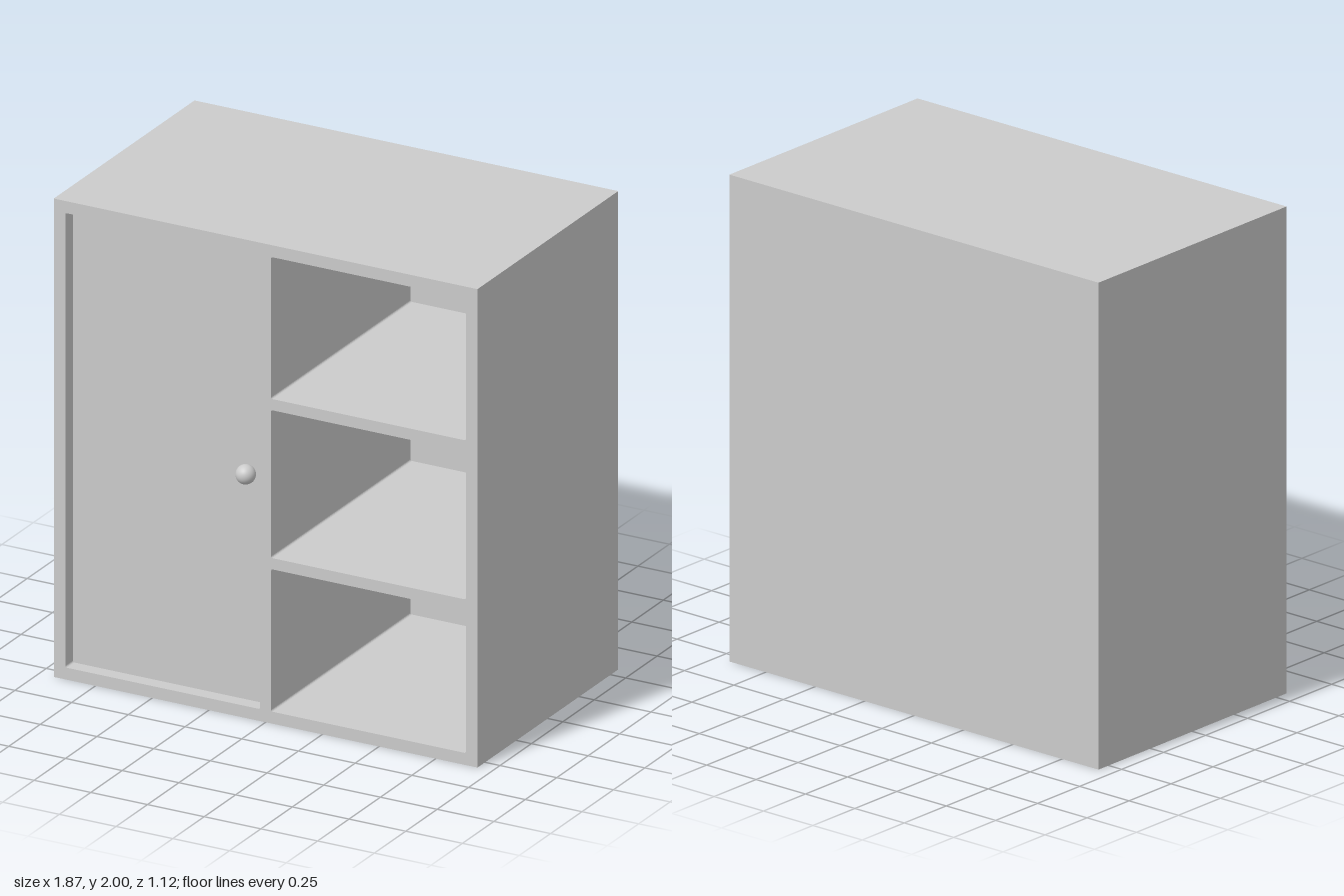
import * as THREE from 'three';

const W = 1.868, H = 2, D = 1.12, BACK = 0.01;

// Rectangle with slightly eased corners, traced on any Shape or Path
function roundedRect(path, x0, y0, x1, y1, r) {
  path.moveTo(x0 + r, y0);
  path.lineTo(x1 - r, y0);
  path.absarc(x1 - r, y0 + r, r, -Math.PI / 2, 0);
  path.absarc(x1 - r, y1 - r, r, 0, Math.PI / 2);
  path.absarc(x0 + r, y1 - r, r, Math.PI / 2, Math.PI);
  path.absarc(x0 + r, y0 + r, r, Math.PI, Math.PI * 1.5);
  return path;
}

export function createModel() {
  const group = new THREE.Group();
  const material = new THREE.MeshStandardMaterial({ color: 0xcccccc });
  const add = (name, geometry, x, y, z) => {
    const mesh = new THREE.Mesh(geometry, material);
    mesh.name = name;
    mesh.position.set(x, y, z);
    group.add(mesh);
  };

  // Carcass: outer walls, divider and shelves in one extrusion
  const outline = new THREE.Shape();
  outline.moveTo(-W / 2, 0);
  outline.lineTo(W / 2, 0);
  outline.lineTo(W / 2, H);
  outline.lineTo(-W / 2, H);
  outline.closePath();
  const openings = [
    [-0.883, 0.05, -0.024, 1.95], // door bay
    [0.024, 0.05, 0.883, 0.645],
    [0.024, 0.692, 0.883, 1.31],
    [0.024, 1.357, 0.883, 1.95],
  ];
  for (const [x0, y0, x1, y1] of openings) {
    outline.holes.push(roundedRect(new THREE.Path(), x0, y0, x1, y1, 0.008));
  }
  const carcass = new THREE.ExtrudeGeometry(outline, {
    depth: D - BACK, bevelEnabled: false, curveSegments: 4,
  });
  add('carcass', carcass, 0, 0, -D / 2 + BACK);

  // Thin back panel
  add('backPanel', new THREE.BoxGeometry(W, H, BACK), 0, H / 2, -D / 2 + BACK / 2);

  // Door set back inside its bay
  const [x0, y0, x1, y1] = openings[0];
  const door = new THREE.ExtrudeGeometry(roundedRect(new THREE.Shape(), x0, y0, x1, y1, 0.008), {
    depth: 0.04, bevelEnabled: false, curveSegments: 4,
  });
  add('door', door, 0, 0, 0.46);

  // Round knob, flush with the cabinet front
  add('knob', new THREE.SphereGeometry(0.04, 32, 20), -0.11, 1, 0.52);

  return group;
}
